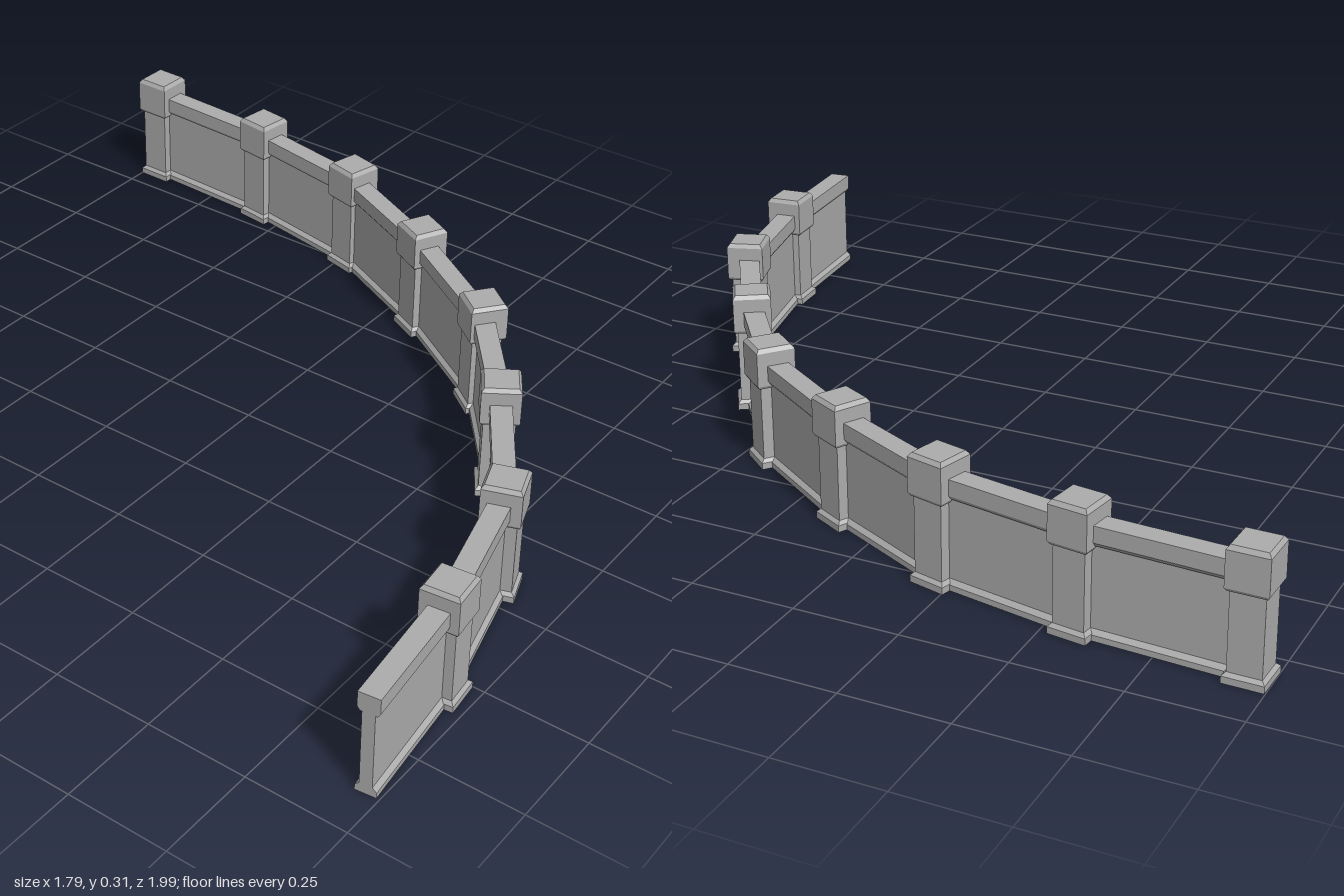
import * as THREE from 'three';

export function createModel() {
  const group = new THREE.Group();
  group.name = 'curvedWall';
  const stone = new THREE.MeshStandardMaterial({ color: 0xacacac, flatShading: true });
  stone.name = 'grey stone';

  // Post centres along the curve with their heading in degrees; the last entry is the open wall end
  const path = [
    [0.844, -0.953, 1], [0.823, -0.571, 8], [0.757, -0.22, 14], [0.598, 0.106, 27],
    [0.394, 0.418, 38], [0.124, 0.635, 57], [-0.19, 0.841, 71], [-0.553, 0.931, 84],
    [-0.893, 0.968, 84],
  ];

  // Square post: hollow foot, chamfered base, shaft and heavy chamfered cap (half width, height)
  const postProfile = [
    [0.032, 0], [0.046, 0], [0.046, 0.016], [0.038, 0.024], [0.038, 0.205],
    [0.043, 0.205], [0.047, 0.212], [0.047, 0.295], [0.04, 0.305], [0, 0.305],
  ].map(([h, y]) => new THREE.Vector2(h * Math.SQRT2, y));
  const postGeometry = new THREE.LatheGeometry(postProfile, 4).rotateY(Math.PI / 4);

  // Wall section: base rail, panel and coping, mirrored about the middle
  const half = [
    [0.025, 0], [0.025, 0.014], [0.015, 0.024], [0.015, 0.215],
    [0.02, 0.215], [0.026, 0.224], [0.026, 0.262],
  ];
  const section = [...half, ...half.map(([x, y]) => [-x, y]).reverse()];
  const wallShape = new THREE.Shape(section.map(([x, y]) => new THREE.Vector2(x, y)));

  for (let i = 0; i < path.length - 1; i++) {
    const [x, z, heading] = path[i];
    const [nx, nz] = path[i + 1];

    const post = new THREE.Mesh(postGeometry, stone);
    post.name = 'post';
    post.position.set(x, 0, z);
    post.rotation.y = -THREE.MathUtils.degToRad(heading);
    group.add(post);

    // Straight wall run from this post to the next
    const depth = Math.hypot(nx - x, nz - z);
    const wall = new THREE.Mesh(
      new THREE.ExtrudeGeometry(wallShape, { depth, bevelEnabled: false }), stone);
    wall.name = 'wallSegment';
    wall.position.set(x, 0, z);
    wall.rotation.y = Math.atan2(nx - x, nz - z);
    group.add(wall);
  }
  return group;
}
